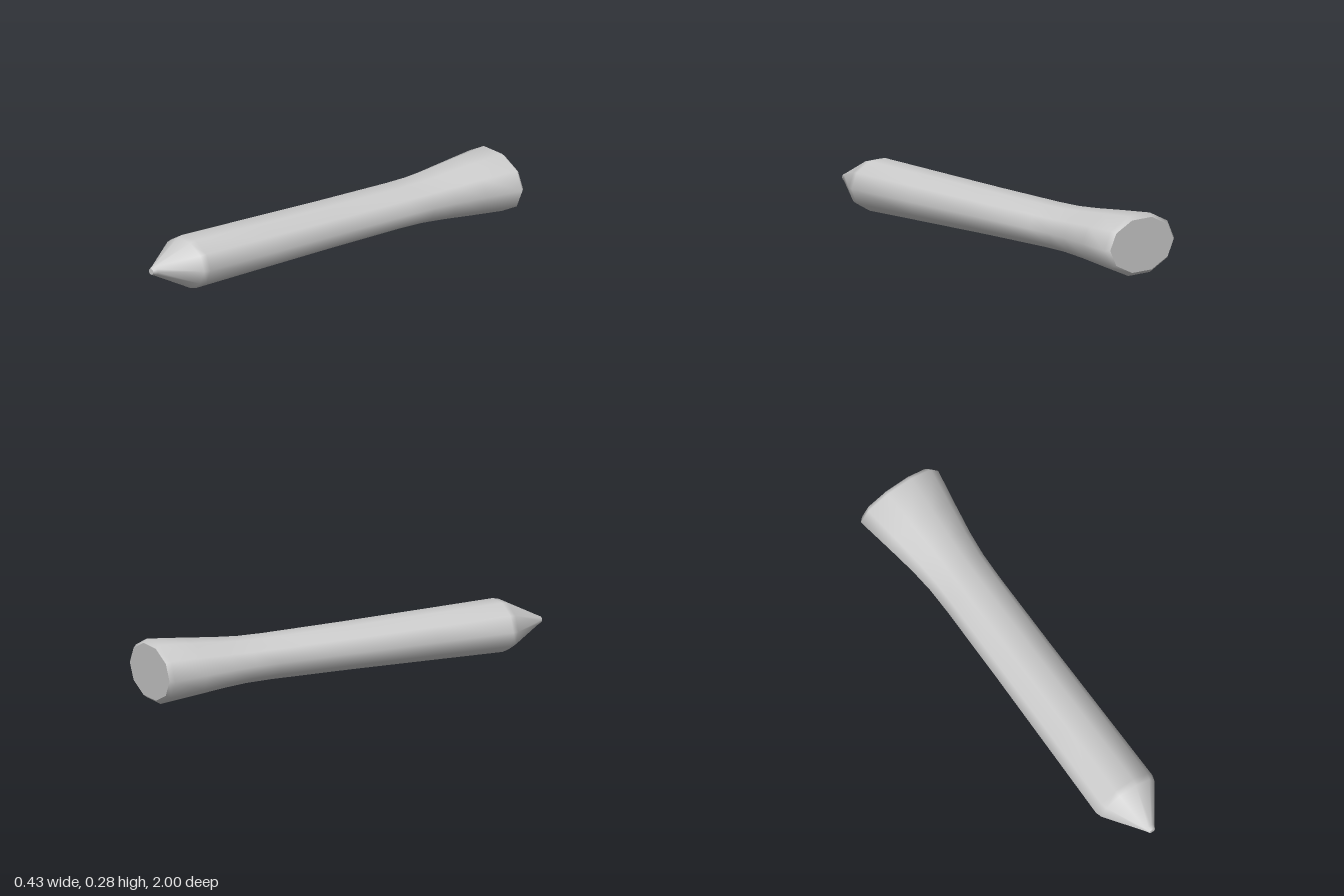
import * as THREE from 'three';

const SIDES = 10;
const CENTRE_Y = 0.14;

// Cross-sections from the flared butt to the tip: [z, half width, half height]
const SECTIONS = [
  [-1, 0.195, 0.128],
  [-0.98, 0.215, 0.145],
  [-0.8, 0.184, 0.129],
  [-0.65, 0.16, 0.114],
  [-0.53, 0.148, 0.105],
  [-0.4, 0.145, 0.103],
  [0, 0.147, 0.107],
  [0.4, 0.152, 0.114],
  [0.78, 0.157, 0.121],
  [0.81, 0.148, 0.114],
  [0.98, 0.026, 0.024],
  [1, 0.016, 0.014],
];

function ringPoints([z, rx, ry]) {
  return Array.from({ length: SIDES }, (_, i) => {
    const a = (i / SIDES) * Math.PI * 2;
    return [Math.cos(a) * rx, CENTRE_Y + Math.sin(a) * ry, z];
  });
}

function makeGeometry(points, index) {
  const geo = new THREE.BufferGeometry();
  geo.setAttribute('position', new THREE.Float32BufferAttribute(points.flat(), 3));
  geo.setIndex(index);
  geo.computeVertexNormals();
  return geo;
}

// Smooth decagonal skin joining the sections
function shaftGeometry() {
  const index = [];
  for (let s = 0; s < SECTIONS.length - 1; s++) {
    for (let i = 0; i < SIDES; i++) {
      const j = (i + 1) % SIDES;
      const a = s * SIDES + i, b = s * SIDES + j;
      index.push(a, b, b + SIDES, a, b + SIDES, a + SIDES);
    }
  }
  return makeGeometry(SECTIONS.flatMap(ringPoints), index);
}

// Flat fan closing one end
function capGeometry(section, facesFront) {
  const index = [];
  for (let i = 1; i < SIDES - 1; i++) {
    index.push(0, ...(facesFront ? [i, i + 1] : [i + 1, i]));
  }
  return makeGeometry(ringPoints(section), index);
}

export function createModel() {
  const model = new THREE.Group();
  model.name = 'peg';
  const material = new THREE.MeshStandardMaterial({ color: 0xcccccc });
  const add = (name, geometry) => {
    const mesh = new THREE.Mesh(geometry, material);
    mesh.name = name;
    model.add(mesh);
  };
  add('shaft', shaftGeometry());
  add('buttCap', capGeometry(SECTIONS[0], false));
  add('tipCap', capGeometry(SECTIONS[SECTIONS.length - 1], true));
  return model;
}
